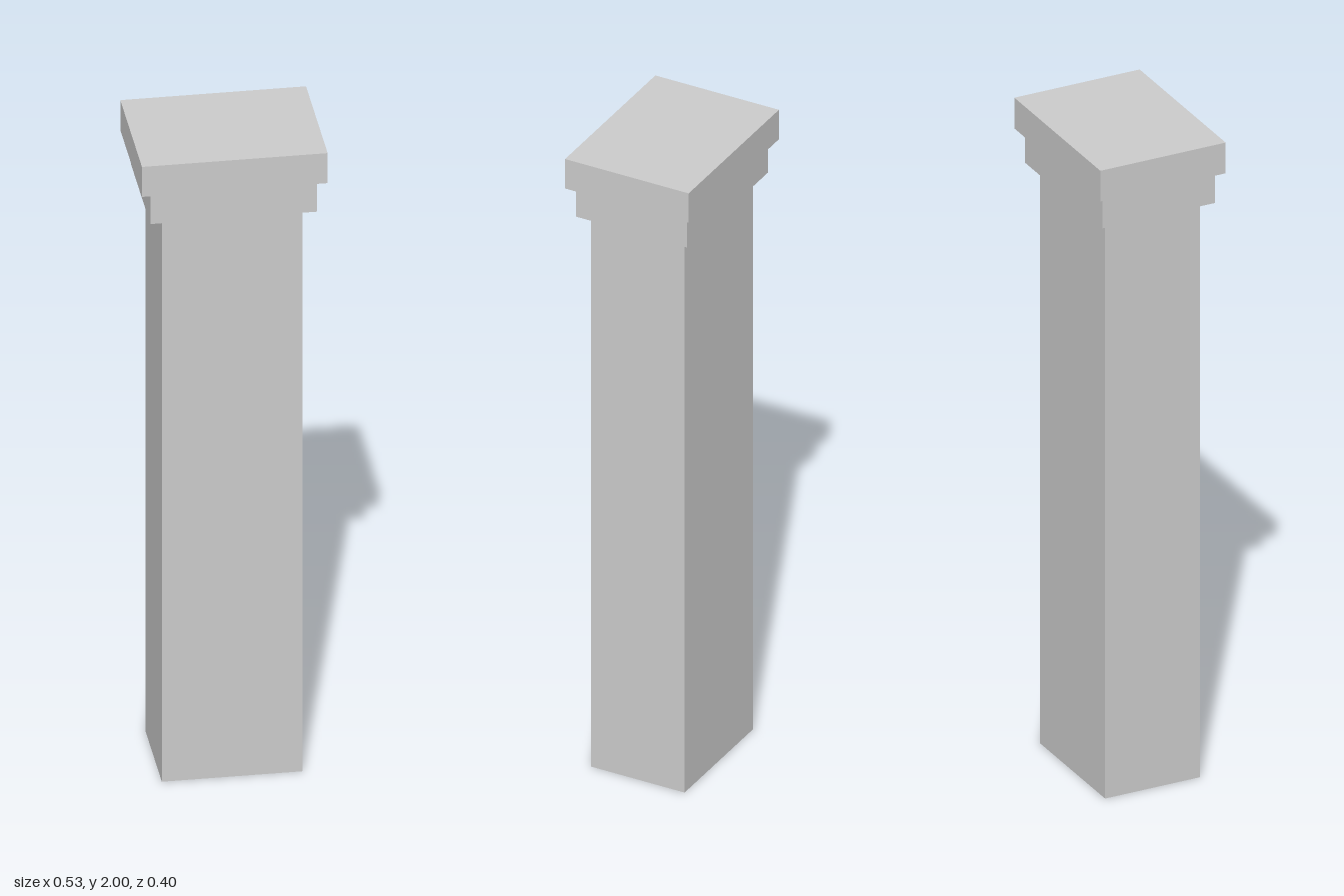
import * as THREE from 'three';

export function createModel() {
  const model = new THREE.Group();
  model.name = 'pillar';
  const material = new THREE.MeshStandardMaterial({ color: 0xcccccc, flatShading: true });

  // Stacked rectangular blocks: name, width, depth, bottom, top
  const blocks = [
    ['shaft', 0.4, 0.3, 0, 1.804],
    ['capitalNeck', 0.474, 0.356, 1.804, 1.904],
    ['capitalSlab', 0.528, 0.396, 1.904, 2],
  ];
  for (const [name, width, depth, bottom, top] of blocks) {
    const block = new THREE.Mesh(new THREE.BoxGeometry(width, top - bottom, depth), material);
    block.name = name;
    block.position.y = (bottom + top) / 2;
    model.add(block);
  }
  return model;
}
